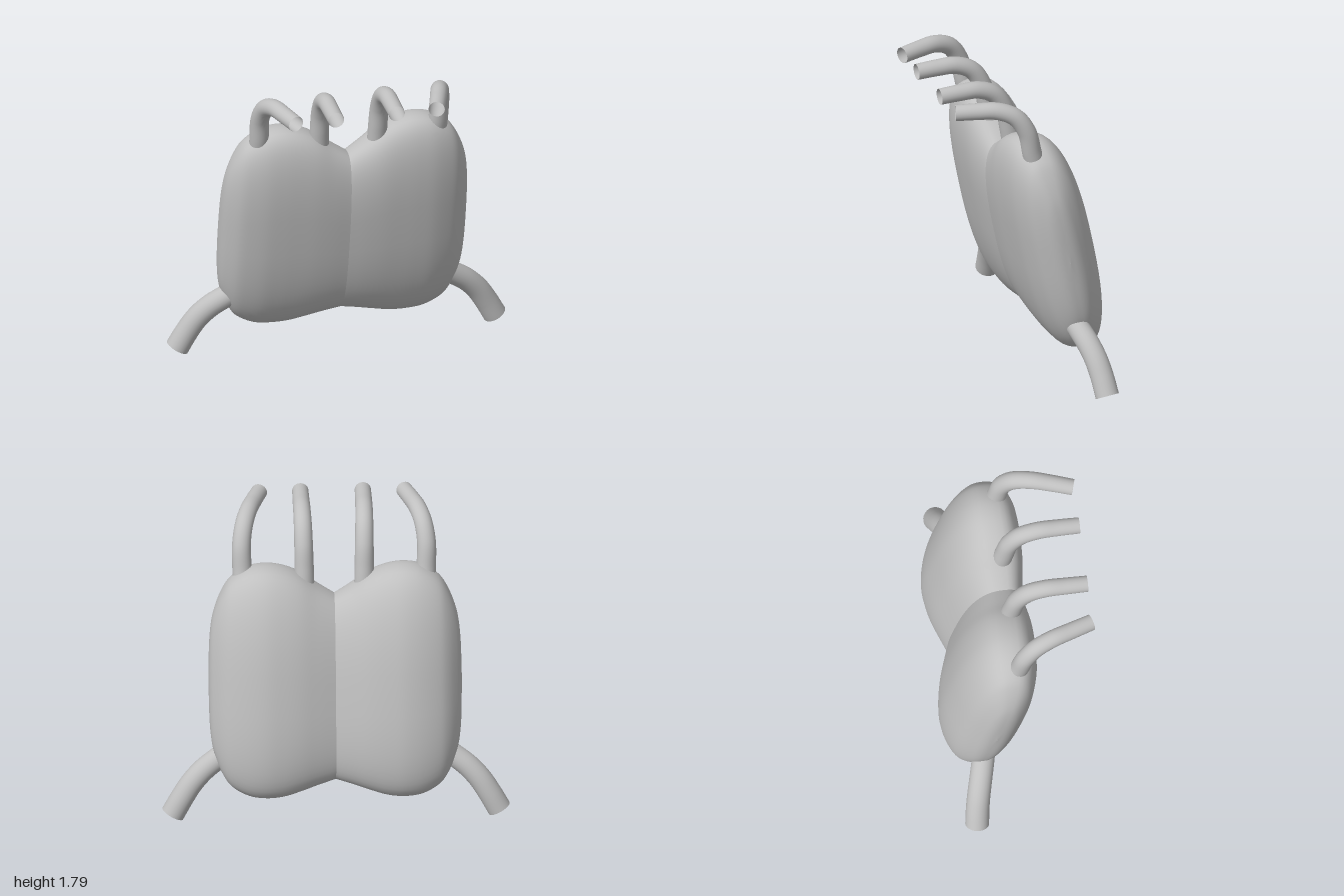
import * as THREE from 'three';

const V = (x, y, z) => new THREE.Vector3(x, y, z);
const spow = (v, p) => Math.sign(v) * Math.pow(Math.abs(v), p);

// Cross-sections of one lobe, from the middle crease outwards:
// [x, half height, half depth, centre y, centre z]
const SECTIONS = [
  [0, 0.535, 0.172, 0.775, -0.138],
  [0.1, 0.58, 0.196, 0.797, -0.148],
  [0.2, 0.63, 0.215, 0.82, -0.158],
  [0.3, 0.664, 0.224, 0.83, -0.167],
  [0.4, 0.675, 0.226, 0.835, -0.172],
  [0.5, 0.66, 0.214, 0.833, -0.17],
  [0.6, 0.603, 0.182, 0.828, -0.167],
  [0.65, 0.535, 0.152, 0.825, -0.163],
  [0.7, 0.41, 0.095, 0.822, -0.16],
  [0.721, 0.28, 0.056, 0.82, -0.16],
  [0.73, 0.002, 0.001, 0.82, -0.16],
];

// Lobe: leaning superellipse sections swept along x
function lobeGeometry(side) {
  const size = new THREE.CatmullRomCurve3(SECTIONS.map(s => V(s[0], s[1], s[2])));
  const centre = new THREE.CatmullRomCurve3(SECTIONS.map(s => V(s[0], s[3], s[4])));
  const rings = 50, seg = 56, lean = 0.2, pos = [], index = [];
  for (let i = 0; i <= rings; i++) {
    const p = size.getPoint(i / rings), c = centre.getPoint(i / rings);
    for (let j = 0; j < seg; j++) {
      const a = (j / seg) * Math.PI * 2;
      const dy = p.y * spow(Math.sin(a), 2 / 2.6);
      const dz = p.z * spow(Math.cos(a), 2 / 2.6) + lean * dy;
      pos.push(side * p.x, c.y + dy, c.z + dz);
    }
  }
  for (let i = 0; i < rings; i++) {
    for (let j = 0; j < seg; j++) {
      const k = (j + 1) % seg;
      const a = i * seg + j, b = a + seg, c = (i + 1) * seg + k, d = i * seg + k;
      if (side > 0) index.push(a, b, c, a, c, d);
      else index.push(a, c, b, a, d, c);
    }
  }
  const g = new THREE.BufferGeometry();
  g.setAttribute('position', new THREE.Float32BufferAttribute(pos, 3));
  g.setIndex(index);
  g.computeVertexNormals();
  return g;
}

// Open pipe whose radius changes evenly from r0 to r1
function pipeGeometry(points, side, r0, r1) {
  const curve = new THREE.CatmullRomCurve3(points.map(([x, y, z]) => V(side * x, y, z)));
  const rings = 32, seg = 24;
  const g = new THREE.TubeGeometry(curve, rings, 1, seg, false);
  const pos = g.attributes.position, v = V(0, 0, 0);
  for (let i = 0; i <= rings; i++) {
    const c = curve.getPointAt(i / rings), r = r0 + (r1 - r0) * (i / rings);
    for (let j = 0; j <= seg; j++) {
      const n = i * (seg + 1) + j;
      v.fromBufferAttribute(pos, n).sub(c).multiplyScalar(r).add(c);
      pos.setXYZ(n, v.x, v.y, v.z);
    }
  }
  return g;
}

// Pipe paths for the left side
const PIPES = [
  { name: 'InnerUpperPipe', r: [0.058, 0.047], path: [
    [0.172, 1.34, -0.02], [0.173, 1.47, 0.002], [0.175, 1.61, 0.035],
    [0.177, 1.705, 0.1], [0.179, 1.748, 0.2], [0.18, 1.75, 0.31], [0.18, 1.745, 0.435]] },
  { name: 'OuterUpperPipe', r: [0.058, 0.047], path: [
    [0.526, 1.38, -0.02], [0.53, 1.47, 0.002], [0.533, 1.61, 0.035],
    [0.517, 1.705, 0.1], [0.488, 1.748, 0.2], [0.455, 1.75, 0.31], [0.417, 1.745, 0.43]] },
  { name: 'LowerPipe', r: [0.065, 0.069], path: [
    [0.6, 0.415, -0.215], [0.685, 0.36, -0.237], [0.76, 0.305, -0.258],
    [0.828, 0.233, -0.278], [0.885, 0.145, -0.293], [0.94, 0.045, -0.303]] },
];

export function createModel() {
  const model = new THREE.Group();
  model.name = 'twinLobedBodyWithPipes';
  const grey = new THREE.MeshStandardMaterial({ color: 0xc0c0c0, side: THREE.DoubleSide });
  grey.name = 'lightGrey';

  for (const side of [1, -1]) {
    const label = side > 0 ? 'left' : 'right';
    const lobe = new THREE.Mesh(lobeGeometry(side), grey);
    lobe.name = label + 'Lobe';
    model.add(lobe);
    for (const { name, r, path } of PIPES) {
      const pipe = new THREE.Mesh(pipeGeometry(path, side, r[0], r[1]), grey);
      pipe.name = label + name;
      model.add(pipe);
    }
  }
  return model;
}
